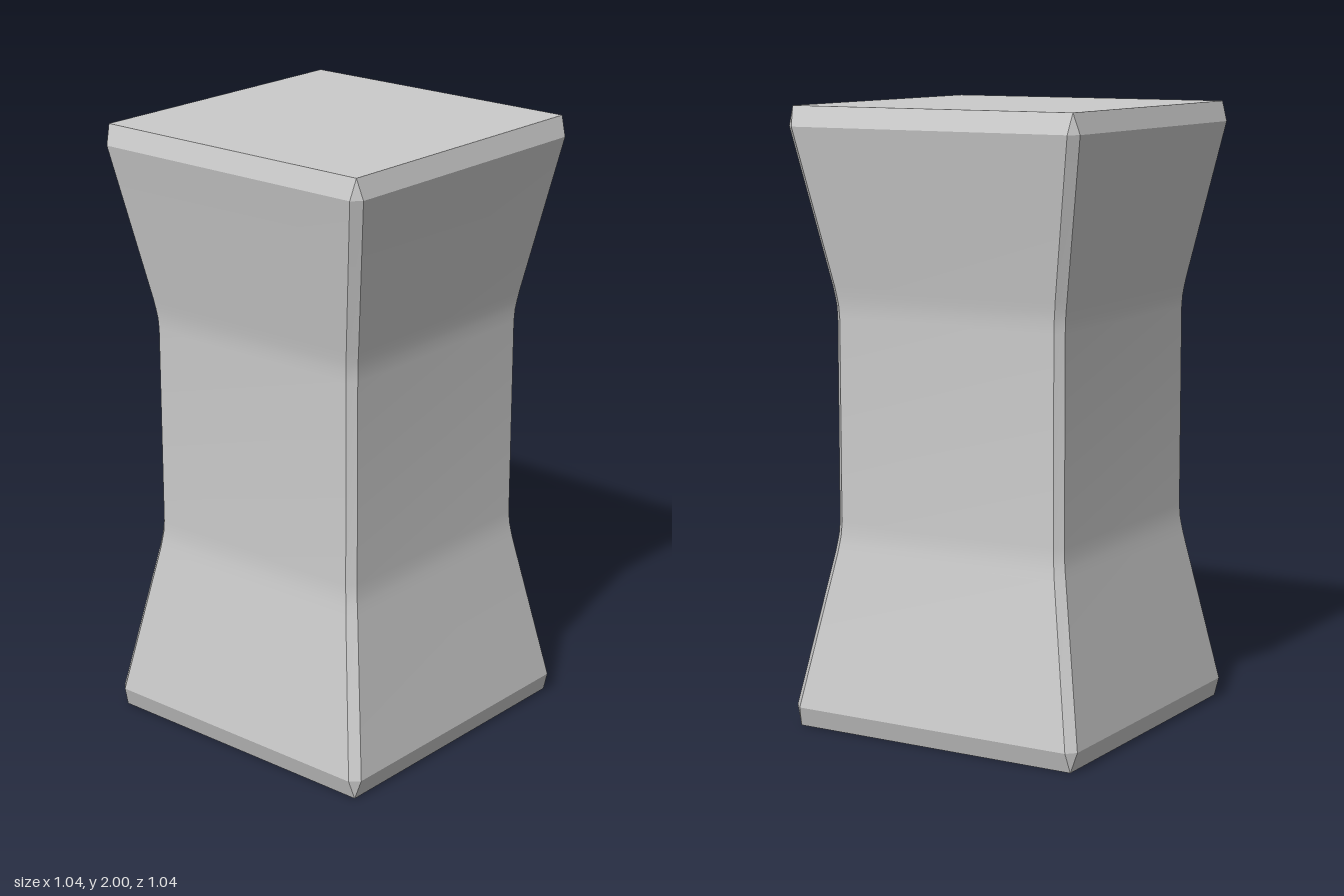
import * as THREE from 'three';
import { toCreasedNormals } from 'three/addons/utils/BufferGeometryUtils.js';

// Lower half of the outline: height, half width, half width of the flat side
const lowerProfile = [
  [0, 0.5, 0.5],
  [0.065, 0.52, 0.492],
  [0.57, 0.426, 0.4],
  [0.6, 0.421, 0.396],
  [0.63, 0.417, 0.392],
  [0.67, 0.415, 0.39],
];

// Square ring with cut corners
function ring([y, h, f]) {
  return [[h, -f], [h, f], [f, h], [-f, h], [-h, f], [-h, -f], [-f, -h], [f, -h]]
    .map(([x, z]) => new THREE.Vector3(x, y, z));
}

function pillarGeometry() {
  // Mirror the profile about mid height
  const upperProfile = lowerProfile.map(([y, h, f]) => [2 - y, h, f]).reverse();
  const rings = [...lowerProfile, ...upperProfile].map(ring);
  const positions = [];
  const addTriangle = (a, b, c) => {
    // The corner strips end in a point, so empty triangles are left out
    if (new THREE.Triangle(a, b, c).getArea() < 1e-8) return;
    for (const p of [a, b, c]) positions.push(p.x, p.y, p.z);
  };

  // Walls, open at the bottom
  for (let r = 0; r < rings.length - 1; r++) {
    const low = rings[r], high = rings[r + 1];
    for (let i = 0; i < 8; i++) {
      const j = (i + 1) % 8;
      addTriangle(low[i], high[i], low[j]);
      addTriangle(low[j], high[i], high[j]);
    }
  }

  // Flat top
  const top = rings[rings.length - 1];
  for (let i = 1; i < 7; i++) addTriangle(top[0], top[i + 1], top[i]);

  const geometry = new THREE.BufferGeometry();
  geometry.setAttribute('position', new THREE.Float32BufferAttribute(positions, 3));
  return toCreasedNormals(geometry, 0.3);
}

export function createModel() {
  const group = new THREE.Group();
  group.name = 'waistedPillar';
  const material = new THREE.MeshStandardMaterial({ color: 0xcccccc, side: THREE.DoubleSide });
  const pillar = new THREE.Mesh(pillarGeometry(), material);
  pillar.name = 'pillarShell';
  group.add(pillar);
  return group;
}
